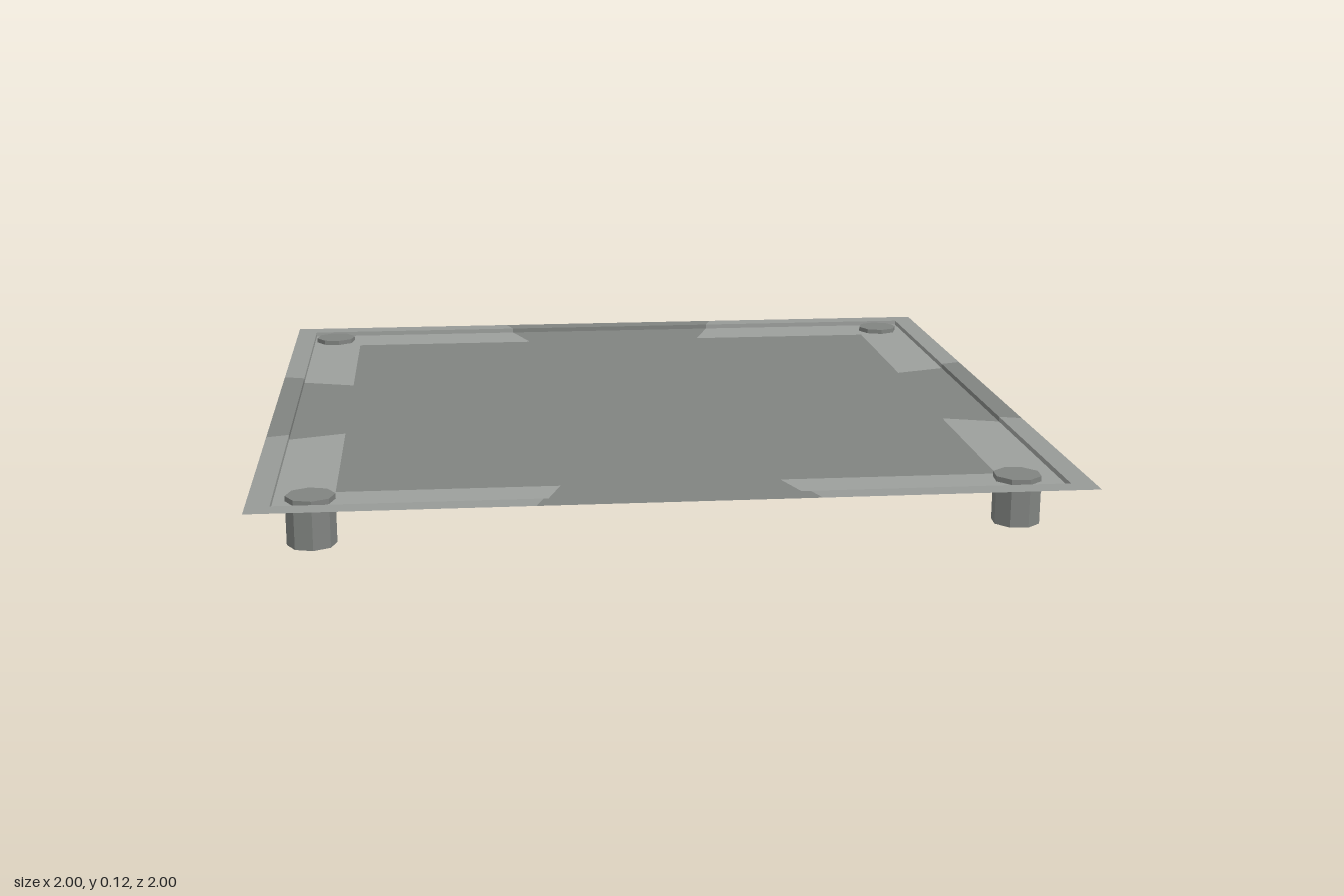
import * as THREE from 'three';

const RIM = 1, WALL = 0.943, INNER = 0.8;
const RIM_Y = 0.12, FLOOR_Y = 0.107, LEG_R = 0.059;
const SLOPE = 1 / 3; // the panel seams run outward from the centre

const surface = (color) => new THREE.MeshStandardMaterial({ color, flatShading: true, side: THREE.DoubleSide });
const dark = surface(0x808380);
const pale = surface(0x9c9f9c);
const rimPale = surface(0x979a97);

function add(parent, name, geometry, material) {
  const mesh = new THREE.Mesh(geometry, material);
  mesh.name = name;
  parent.add(mesh);
  return mesh;
}

// Flat horizontal sheet from an outline of [x, z] corners
function sheet(points, y) {
  const shape = new THREE.Shape(points.map(([x, z]) => new THREE.Vector2(x, -z)));
  return new THREE.ShapeGeometry(shape).rotateX(-Math.PI / 2).translate(0, y, 0);
}

// L-shaped panel filling one corner between two square outlines
function cornerPanel(inner, outer, y) {
  return sheet([
    [outer * SLOPE, outer], [outer, outer], [outer, outer * SLOPE],
    [inner, inner * SLOPE], [inner, inner], [inner * SLOPE, inner],
  ], y);
}

// Tapered panel in the middle of one side
function middlePanel(inner, outer, y) {
  return sheet([
    [-inner * SLOPE, inner], [-outer * SLOPE, outer],
    [outer * SLOPE, outer], [inner * SLOPE, inner],
  ], y);
}

// Upright step between the recessed floor and the rim
function wallStrip(from, to) {
  return new THREE.PlaneGeometry(to - from, RIM_Y - FLOOR_Y)
    .rotateY(Math.PI)
    .translate((from + to) / 2, (RIM_Y + FLOOR_Y) / 2, WALL);
}

export function createModel() {
  const model = new THREE.Group();
  model.name = 'lowPlatform';

  // Central floor
  add(model, 'centreFloor', sheet([[-INNER, -INNER], [-INNER, INNER], [INNER, INNER], [INNER, -INNER]], FLOOR_Y), dark);

  // Four identical sides: floor border, step and rim
  const seam = WALL * SLOPE;
  for (let i = 0; i < 4; i++) {
    const side = new THREE.Group();
    side.name = 'side' + (i + 1);
    side.rotation.y = (i * Math.PI) / 2;
    add(side, 'floorCorner', cornerPanel(INNER, WALL, FLOOR_Y), pale);
    add(side, 'floorMiddle', middlePanel(INNER, WALL, FLOOR_Y), dark);
    add(side, 'rimCorner', cornerPanel(WALL, RIM, RIM_Y), rimPale);
    add(side, 'rimMiddle', middlePanel(WALL, RIM, RIM_Y), dark);
    add(side, 'wallMiddle', wallStrip(-seam, seam), dark);
    add(side, 'wallLeft', wallStrip(seam, WALL), pale);
    add(side, 'wallRight', wallStrip(-WALL, -seam), pale);
    model.add(side);
  }

  // Slightly unevenly placed legs whose tops stand above the floor
  const legs = [
    ['backRightLeg', -0.878, -0.868, 0.2],
    ['backLeftLeg', 0.865, -0.863, 0.05],
    ['frontRightLeg', -0.856, 0.858, 0.1],
    ['frontLeftLeg', 0.839, 0.849, 0.3],
  ];
  for (const [name, x, z, turn] of legs) {
    const leg = add(model, name, new THREE.CylinderGeometry(LEG_R, LEG_R, RIM_Y, 8), dark);
    leg.position.set(x, RIM_Y / 2, z);
    leg.rotation.y = turn;
  }

  return model;
}
